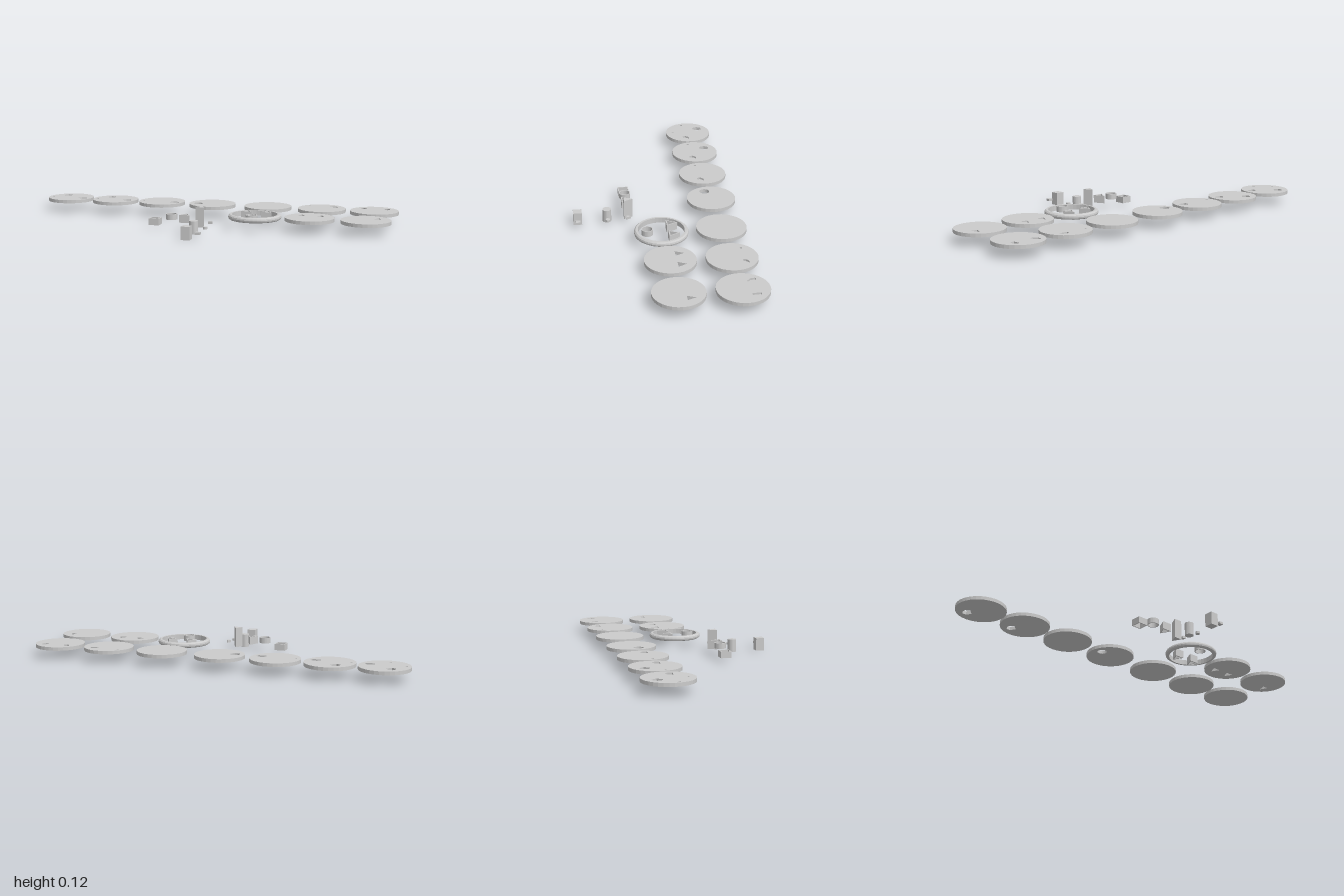
import * as THREE from 'three';

const material = new THREE.MeshStandardMaterial({ color: 0xcccccc, flatShading: true });

// Outlines lie in plan: first value is x, second points to the back (-z).
const polygon = (pts) => pts.map(([x, y]) => new THREE.Vector2(x, y));
const circle = (r, n = 24, x = 0, y = 0) => Array.from({ length: n }, (_, i) => {
  const a = (i / n) * Math.PI * 2;
  return new THREE.Vector2(x + r * Math.cos(a), y + r * Math.sin(a));
});
const triangle = (w, h = w) => polygon([[-w / 2, -h / 2], [w / 2, -h / 2], [0, h / 2]]);
const square = (s) => polygon([[-s / 2, -s / 2], [s / 2, -s / 2], [s / 2, s / 2], [-s / 2, s / 2]]);
const move = (pts, x, y) => pts.map((p) => new THREE.Vector2(p.x + x, p.y + y));

// Upright prism from an outline, with holes, between two heights
function prism(outline, holes, y0, y1) {
  const shape = new THREE.Shape(outline);
  holes.forEach((h) => shape.holes.push(new THREE.Path(h)));
  const g = new THREE.ExtrudeGeometry(shape, { depth: y1 - y0, bevelEnabled: false });
  return g.rotateX(-Math.PI / 2).translate(0, y0, 0);
}

export function createModel() {
  const model = new THREE.Group();
  const add = (parent, name, geometry, x = 0, z = 0) => {
    const mesh = new THREE.Mesh(geometry, material);
    mesh.name = name;
    mesh.position.set(x, 0, z);
    parent.add(mesh);
    return mesh;
  };

  // Opening outlines
  const shard = polygon([[-0.022, -0.014], [0, -0.027], [0.027, 0], [0.008, 0.026], [-0.012, 0.026], [-0.024, 0.006]]);
  const pebble = polygon([[-0.022, -0.016], [0.022, -0.018], [0.026, 0.002], [0.012, 0.018], [-0.012, 0.018], [-0.026, 0]]);
  const dome = polygon([[-0.024, -0.012], [0.024, -0.012], [0.022, 0.004], [0.008, 0.014], [-0.01, 0.014], [-0.022, 0.002]]);
  const leaf = polygon([[0.004, -0.024], [0.018, -0.018], [0.016, 0], [-0.006, 0.022], [-0.018, 0.018], [-0.016, -0.004]]);
  const bean = polygon([[-0.012, -0.02], [0.006, -0.022], [0.016, -0.006], [0.012, 0.014], [-0.002, 0.022], [-0.014, 0.02]]);
  const dot = circle(0.007, 6);
  const shardHole = move(shard, -0.042, 0.059);
  const pebblePit = move(pebble, 0.078, -0.022);
  const edgeDot = move(dot, -0.1, -0.026);

  // Discs: position, openings that go through, shallow pits in the top
  const discs = [
    [-0.873, -0.307, [shardHole], [pebblePit, edgeDot, move(dot, -0.01, -0.09)]],
    [-0.602, -0.307, [shardHole], [pebblePit, edgeDot]],
    [-0.323, -0.307, [], [pebblePit, edgeDot]],
    [-0.029, -0.307, [circle(0.026, 20, -0.075, -0.024)], []],
    [0.286, -0.307, [], []],
    [0.585, -0.307, [], [move(dome, 0.056, 0.06), move(dot, -0.076, 0.058)]],
    [0.869, -0.307, [], [move(leaf, -0.062, 0.053), move(bean, 0.062, 0.053)]],
    [0.575, -0.005, [move(triangle(0.044), -0.052, 0.053), move(triangle(0.044), 0.05, 0.053)], []],
    [0.866, -0.005, [move(triangle(0.036, 0.044), 0.056, 0.053)], []],
  ];
  const rim = circle(0.129, 32);
  discs.forEach(([x, z, holes, pits], i) => {
    const disc = new THREE.Group();
    disc.name = `disc${i + 1}`;
    disc.position.set(x, 0, z);
    model.add(disc);
    if (pits.length === 0) {
      add(disc, 'discBody', prism(rim, holes, 0.05, 0.068));
    } else {
      add(disc, 'discBase', prism(rim, holes, 0.05, 0.058));
      add(disc, 'discTop', prism(rim, [...holes, ...pits], 0.058, 0.068));
    }
  });

  // Round frame with a bevelled outer edge
  const section = [[0.119, 0.046], [0.13, 0.046], [0.137, 0.051], [0.139, 0.059], [0.137, 0.067], [0.13, 0.073], [0.119, 0.073], [0.119, 0.046]];
  add(model, 'ringFrame', new THREE.LatheGeometry(polygon(section), 40), 0.286, 0.002);

  // Hollow cutters
  const triangleTube = () => prism(triangle(0.056), [move(triangle(0.04), 0, -0.002)], 0.038, 0.079);
  const roundTube = () => prism(circle(0.03), [circle(0.025)], 0.05, 0.079);
  const squareTube = () => prism(square(0.056), [square(0.046)], 0.018, 0.052);
  add(model, 'frameTriangleLeft', triangleTube(), 0.34, -0.058);
  add(model, 'frameTriangleRight', triangleTube(), 0.233, -0.058);
  add(model, 'frameRound', roundTube(), 0.286, 0.073);
  add(model, 'squareCutter', squareTube(), -0.214, 0.147);
  add(model, 'roundCutter', roundTube(), -0.123, 0.148);
  add(model, 'triangleCutter', triangleTube(), -0.047, 0.145);

  // Solid pegs with their small companions
  add(model, 'trianglePeg', prism(triangle(0.046), [], 0.018, 0.123), 0.035, 0.145);
  add(model, 'smallTrianglePeg', prism(triangle(0.024), [], 0.037, 0.05), 0.088, 0.147);
  add(model, 'roundPeg', prism(circle(0.023, 20), [], 0, 0.068), 0.029, 0.257);
  add(model, 'smallRoundPeg', prism(circle(0.012, 16), [], 0.028, 0.04), 0.09, 0.257);
  add(model, 'squarePeg', prism(square(0.045), [], 0, 0.068), 0.037, 0.412);
  add(model, 'smallSquarePeg', prism(square(0.024), [], 0.028, 0.04), 0.096, 0.412);

  return model;
}
